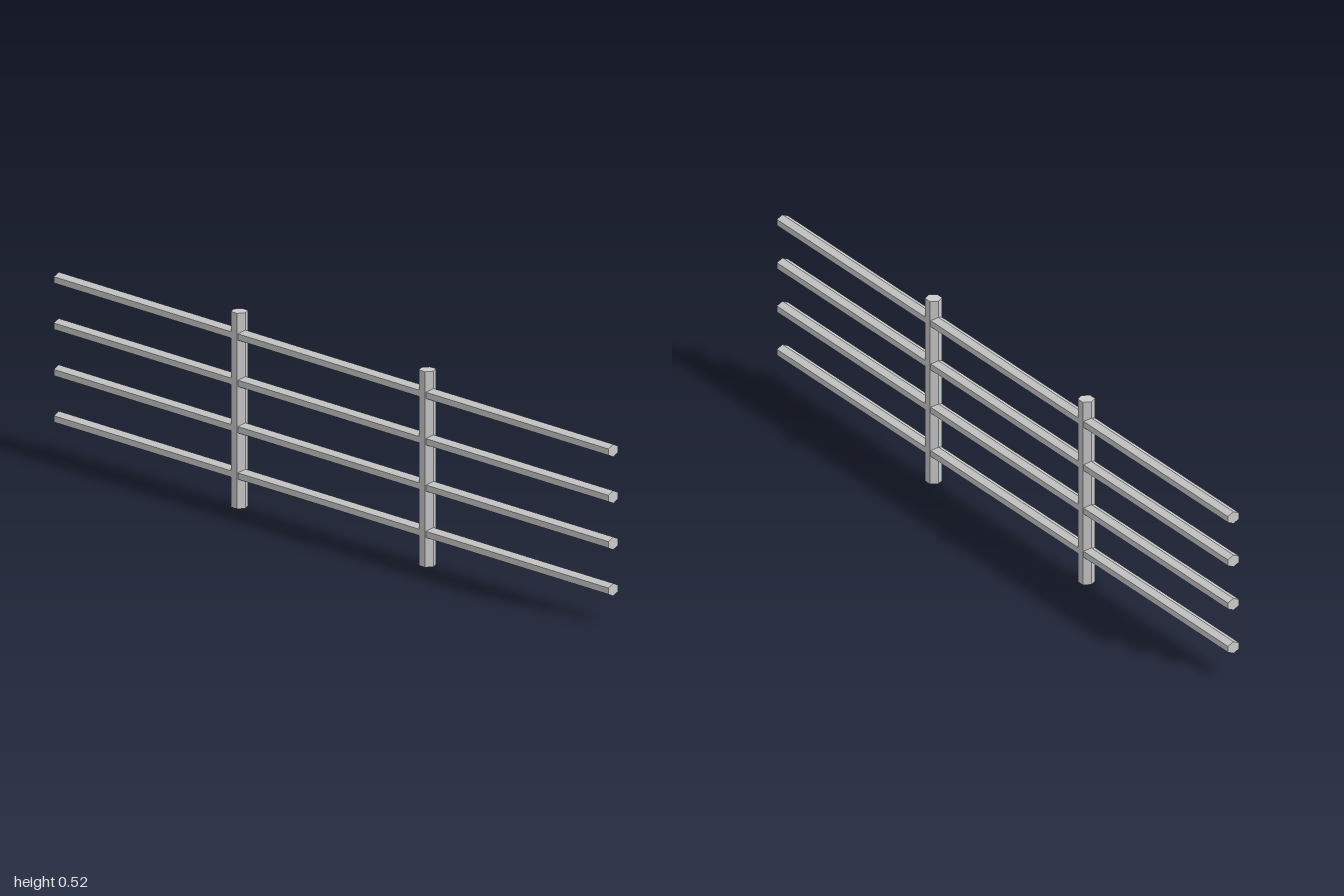
import * as THREE from 'three';

export function createModel() {
  const fence = new THREE.Group();
  fence.name = 'railFence';
  const material = new THREE.MeshStandardMaterial({ color: 0xcccccc, flatShading: true });

  // Hexagonal posts, corners pointing along the fence
  const postHeight = 0.52;
  const postGeometry = new THREE.CylinderGeometry(0.022, 0.022, postHeight, 6);
  [['frontPost', 0.33], ['backPost', -0.348]].forEach(([name, z]) => {
    const post = new THREE.Mesh(postGeometry, material);
    post.name = name;
    post.position.set(0, postHeight / 2, z);
    fence.add(post);
  });

  // Slightly flattened hexagonal rails running the full length
  const railGeometry = new THREE.CylinderGeometry(0.0202, 0.0202, 2, 6);
  railGeometry.rotateX(Math.PI / 2);
  railGeometry.scale(1, 0.83, 1);
  for (let i = 0; i < 4; i++) {
    const rail = new THREE.Mesh(railGeometry, material);
    rail.name = `rail${i + 1}`;
    rail.position.y = 0.0875 + i * 0.1232;
    fence.add(rail);
  }

  return fence;
}
